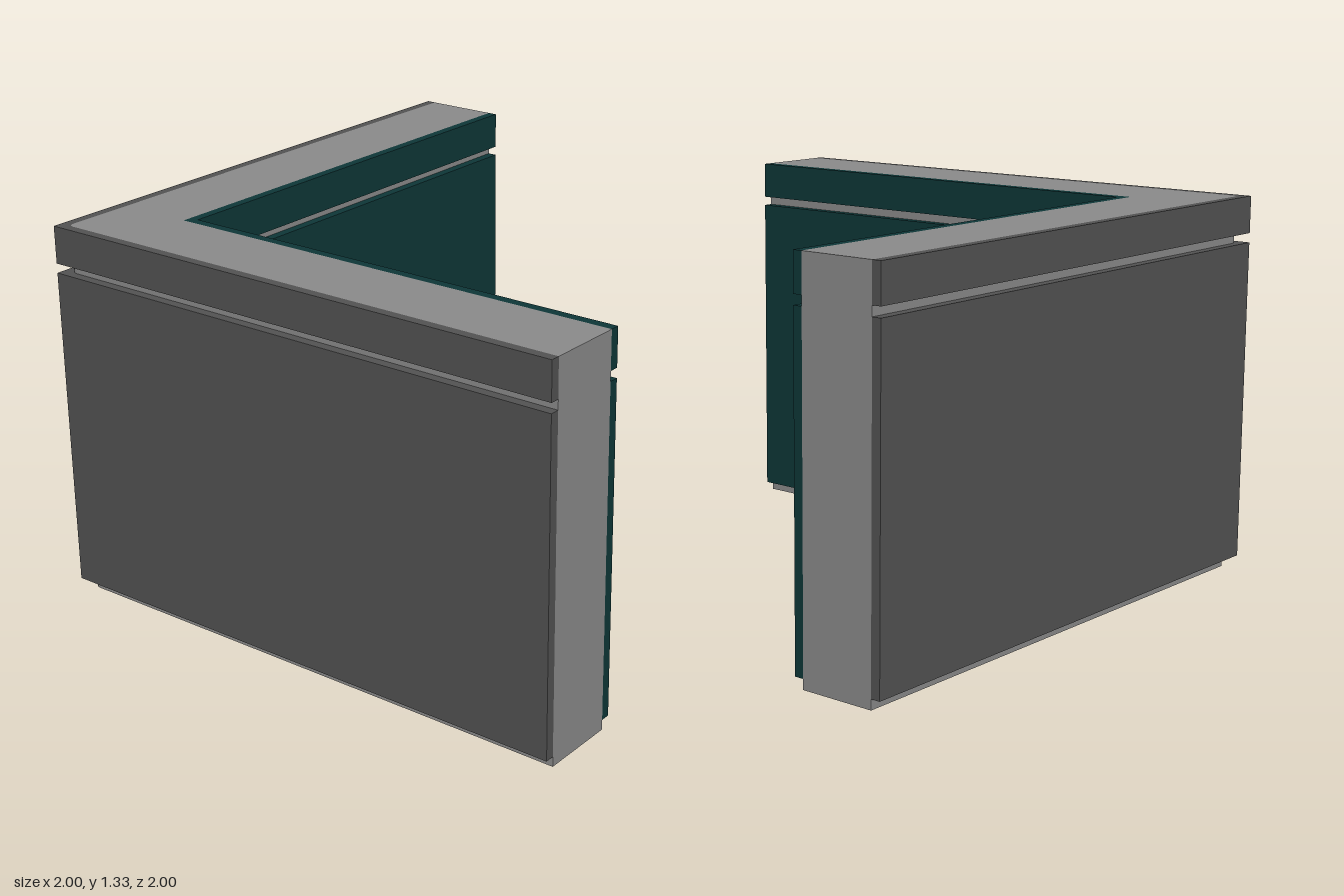
import * as THREE from 'three';

const coreGrey = new THREE.MeshStandardMaterial({ color: 0x8c8c8c });
const outerGrey = new THREE.MeshStandardMaterial({ color: 0x535353 });
const innerTeal = new THREE.MeshStandardMaterial({ color: 0x0e3738 });
coreGrey.name = 'coreGrey';
outerGrey.name = 'outerGrey';
innerTeal.name = 'innerTeal';

// L-shaped slab between two offsets from the centre, with softened corners
function cornerSlab(name, material, outer, inner, bottom, top, outerRound = 0, innerRound = 0) {
  const s = new THREE.Shape();
  s.moveTo(-outer, -1);
  s.lineTo(-inner, -1);
  s.lineTo(-inner, inner - innerRound);
  if (innerRound) s.quadraticCurveTo(-inner, inner, -inner + innerRound, inner);
  s.lineTo(1, inner);
  s.lineTo(1, outer);
  s.lineTo(-outer + outerRound, outer);
  if (outerRound) s.quadraticCurveTo(-outer, outer, -outer, outer - outerRound);
  s.closePath();
  const geometry = new THREE.ExtrudeGeometry(s, { depth: top - bottom, bevelEnabled: false, curveSegments: 4 });
  geometry.rotateX(-Math.PI / 2);
  geometry.translate(0, bottom, 0);
  const mesh = new THREE.Mesh(geometry, material);
  mesh.name = name;
  return mesh;
}

export function createModel() {
  const group = new THREE.Group();
  group.name = 'wallCorner';

  // Structural core, full height
  group.add(cornerSlab('wallCore', coreGrey, 0.967, 0.7, 0, 1.333, 0.025));

  // Cladding on both faces, split by a groove and raised off the ground
  const bands = [['MainPanel', 0.035, 1.17], ['TopBand', 1.203, 1.333]];
  for (const [label, bottom, top] of bands) {
    group.add(cornerSlab('outer' + label, outerGrey, 1, 0.967, bottom, top, 0, 0.025));
    group.add(cornerSlab('inner' + label, innerTeal, 0.7, 0.667, bottom, top));
  }
  return group;
}
